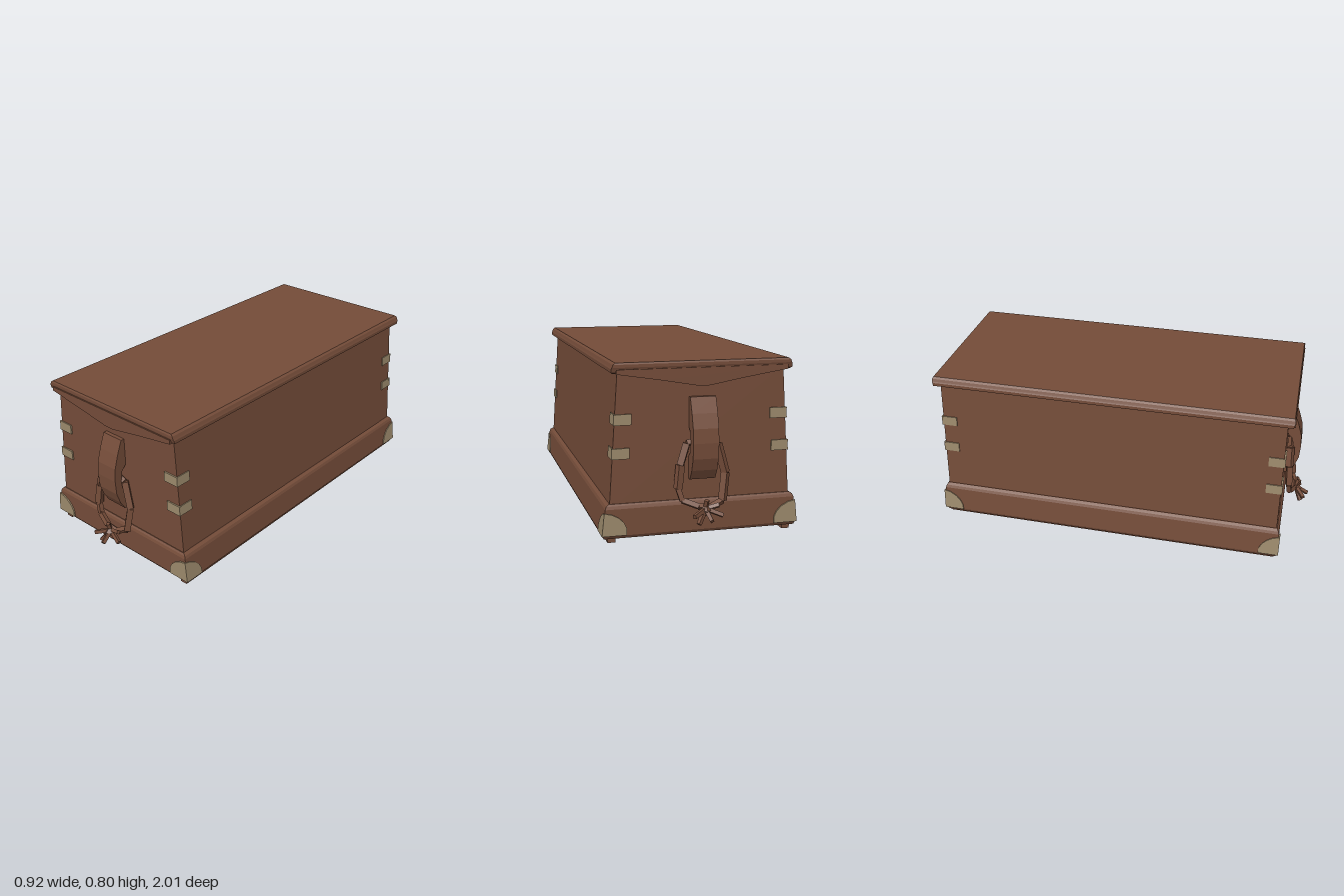
import * as THREE from 'three';

const wood = new THREE.MeshStandardMaterial({ color: 0x744c39 });
wood.name = 'brown wood';
const brass = new THREE.MeshStandardMaterial({ color: 0x9c8a6c });
brass.name = 'dull brass';

function add(parent, name, geo, mat = wood) {
  const mesh = new THREE.Mesh(geo, mat);
  mesh.name = name;
  parent.add(mesh);
  return mesh;
}

// Rectangular loft through rings of [y, half width, half depth], closed at both ends
function loft(rings) {
  const pos = [], tri = (a, b, c) => pos.push(...a, ...b, ...c);
  const quad = (a, b, c, d) => { tri(a, b, c); tri(a, c, d); };
  const corners = rings.map(([y, w, d]) => [[-w, y, d], [w, y, d], [w, y, -d], [-w, y, -d]]);
  for (let i = 0; i < corners.length - 1; i++) {
    const lo = corners[i], hi = corners[i + 1];
    for (let k = 0; k < 4; k++) {
      const n = (k + 1) % 4;
      quad(lo[k], lo[n], hi[n], hi[k]);
    }
  }
  const base = corners[0], top = corners[corners.length - 1];
  quad(base[3], base[2], base[1], base[0]);
  quad(top[0], top[1], top[2], top[3]);
  const geo = new THREE.BufferGeometry();
  geo.setAttribute('position', new THREE.Float32BufferAttribute(pos, 3));
  geo.computeVertexNormals();
  return geo;
}

function plate(points, depth) {
  const shape = new THREE.Shape(points.map(([x, y]) => new THREE.Vector2(x, y)));
  return new THREE.ExtrudeGeometry(shape, { depth, bevelEnabled: false });
}

// Tapered faceted strand between two points
function strand(parent, name, a, b, r0, r1) {
  const from = new THREE.Vector3(...a), to = new THREE.Vector3(...b);
  const dir = to.clone().sub(from);
  const geo = new THREE.CylinderGeometry(r1, r0, dir.length(), 4).toNonIndexed();
  geo.computeVertexNormals();
  const mesh = add(parent, name, geo);
  mesh.position.copy(from).add(to).multiplyScalar(0.5);
  mesh.quaternion.setFromUnitVectors(new THREE.Vector3(0, 1, 0), dir.normalize());
}

// Arched wooden cleat with a rope loop and knot, made for the front end
function handle(name) {
  const g = new THREE.Group();
  g.name = name;

  // Cleat profile in (z, y), with a slot behind it for the rope
  const profile = [[0.86, 0.64], [0.882, 0.64], [0.91, 0.57], [0.93, 0.505], [0.935, 0.44],
    [0.931, 0.37], [0.912, 0.315], [0.885, 0.27], [0.86, 0.27], [0.86, 0.37],
    [0.888, 0.395], [0.895, 0.44], [0.888, 0.48], [0.86, 0.51]];
  const cleat = plate(profile.map(([z, y]) => [-z, y]), 0.118);
  cleat.rotateY(Math.PI / 2);
  cleat.translate(-0.059, 0, 0);
  add(g, 'handleCleat', cleat);

  // Rope loop
  const rope = [[0.0, 0.445, 0.88], [-0.075, 0.435, 0.885], [-0.105, 0.34, 0.89],
    [-0.117, 0.235, 0.897], [-0.1, 0.182, 0.905], [-0.03, 0.155, 0.925], [0.03, 0.15, 0.925],
    [0.087, 0.17, 0.907], [0.104, 0.295, 0.892], [0.07, 0.425, 0.885]];
  rope.forEach((p, i) => {
    const arm = [1, 2, 7, 8].includes(i);
    strand(g, 'handleRope', p, rope[(i + 1) % rope.length], arm ? 0.021 : 0.016, arm ? 0.021 : 0.016);
  });

  // Knot and frayed ends
  const ends = [[0, 0.188, 0.95], [-0.04, 0.085, 0.965], [0.075, 0.115, 0.955],
    [-0.065, 0.125, 0.98], [0.06, 0.16, 0.94], [0.01, 0.105, 0.998]];
  ends.forEach((p) => strand(g, 'knotEnd', [0, 0.145, 0.935], p, 0.012, 0.012));
  const knot = add(g, 'knot', new THREE.OctahedronGeometry(0.028));
  knot.position.set(0, 0.14, 0.94);
  return g;
}

export function createModel() {
  const chest = new THREE.Group();
  chest.name = 'chest';

  add(chest, 'body', loft([[0.15, 0.421, 0.865], [0.765, 0.381, 0.863]]));
  add(chest, 'plinth', loft([[0.02, 0.448, 0.872], [0.034, 0.452, 0.88], [0.036, 0.455, 0.88],
    [0.155, 0.442, 0.88], [0.168, 0.436, 0.875], [0.176, 0.424, 0.868]]));
  add(chest, 'lid', loft([[0.753, 0.405, 0.882], [0.758, 0.413, 0.888], [0.774, 0.413, 0.892],
    [0.78, 0.41, 0.894], [0.793, 0.405, 0.894], [0.801, 0.395, 0.89]]));

  // Runners under the base
  for (const s of [-1, 1]) {
    add(chest, 'runner', new THREE.BoxGeometry(0.036, 0.022, 1.73)).position.set(s * 0.412, 0.011, 0);
  }

  for (const sz of [-1, 1]) {
    // V-shaped batten below each end of the lid
    const batten = plate([[-0.392, 0.772], [-0.392, 0.752], [-0.2, 0.722], [-0.025, 0.691],
      [0.025, 0.691], [0.2, 0.722], [0.392, 0.752], [0.392, 0.772]], 0.036);
    add(chest, 'lidBatten', batten).position.z = sz > 0 ? 0.861 : -0.897;

    for (const sx of [-1, 1]) {
      // Strap brackets wrapped round the upright corners
      for (const y of [0.4, 0.55]) {
        const edge = 0.421 - (y - 0.15) * 0.065 + 0.005;
        const front = add(chest, 'cornerStrapEnd', new THREE.BoxGeometry(0.08, 0.048, 0.008), brass);
        front.position.set(sx * (edge - 0.04), y, sz * 0.867);
        const side = add(chest, 'cornerStrapSide', new THREE.BoxGeometry(0.008, 0.048, 0.08), brass);
        side.position.set(sx * (edge - 0.004), y, sz * 0.831);
        side.rotation.z = sx * 0.065;
      }

      // Curved brass guards on the lower corners; u is the distance from the corner
      const guard = [[0, 0.036], [0.113, 0.036], [0.11, 0.065], [0.095, 0.092], [0.07, 0.115],
        [0.035, 0.133], [0, 0.14]];
      const face = (u, y) => 0.459 - (y - 0.036) * 0.109 - u;
      const endGuard = plate(guard.map(([u, y]) => [sx * face(u, y), y]), 0.009);
      add(chest, 'cornerGuardEnd', endGuard, brass).position.z = sz > 0 ? 0.878 : -0.887;

      const sideGuard = plate(guard.map(([u, y]) => [-sz * (0.887 - u * 0.9), y]), 0.009);
      sideGuard.rotateY(Math.PI / 2);
      const p = sideGuard.attributes.position;
      const offset = sx > 0 ? 0.45 : -0.459;
      for (let i = 0; i < p.count; i++) {
        p.setX(i, p.getX(i) + offset - sx * (p.getY(i) - 0.036) * 0.109);
      }
      sideGuard.computeVertexNormals();
      add(chest, 'cornerGuardSide', sideGuard, brass);
    }
  }

  const back = handle('backHandle');
  back.rotation.y = Math.PI;
  chest.add(handle('frontHandle'), back);
  return chest;
}
